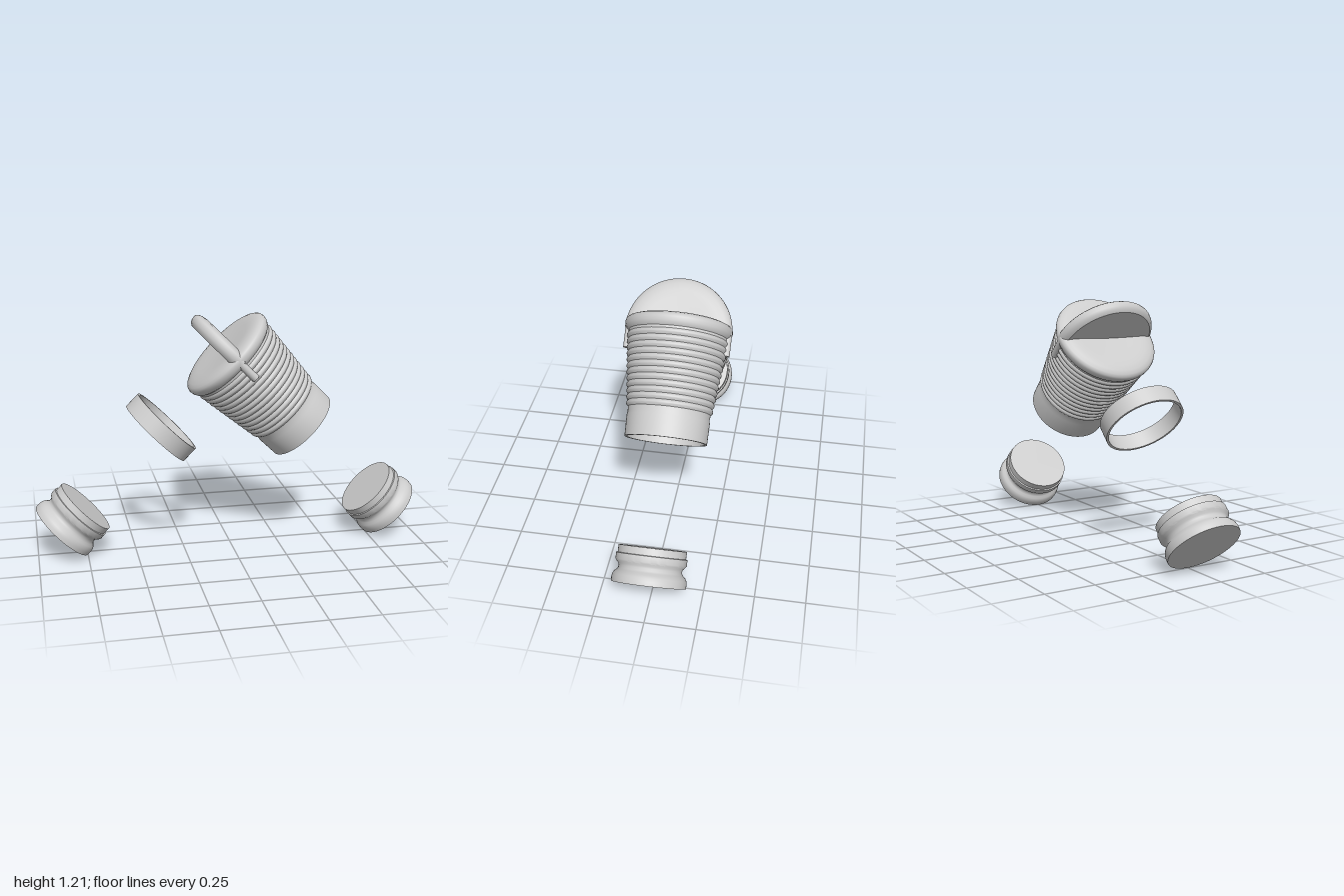
import * as THREE from 'three';
import { toCreasedNormals } from 'three/addons/utils/BufferGeometryUtils.js';

const AXIS = 0.711;  // distance of each part axis from the tilted frame's origin
const grey = new THREE.MeshStandardMaterial({ color: 0xcccccc, side: THREE.DoubleSide });
grey.name = 'plainGrey';

function lathe(name, profile, start = 0, sweep = Math.PI * 2) {
  const points = profile.map(([r, y]) => new THREE.Vector2(r, y));
  const geometry = new THREE.LatheGeometry(points, sweep > 4 ? 72 : 36, start, sweep);
  const mesh = new THREE.Mesh(toCreasedNormals(geometry, 0.6), grey);
  mesh.name = name;
  return mesh;
}

// Domed lid with a rounded edge and a slightly sunken middle
const lidProfile = [
  [0, 0.69], [0.242, 0.69], [0.256, 0.7], [0.264, 0.715], [0.267, 0.732], [0.264, 0.744],
  [0.254, 0.754], [0.235, 0.762], [0.205, 0.767], [0.17, 0.767], [0.12, 0.764], [0.06, 0.762], [0, 0.761],
];

// Stopper with a wide base, a groove and a stepped lip
const plugProfile = [
  [0, 0], [0.18, 0], [0.181, 0.02], [0.178, 0.037], [0.171, 0.05], [0.16, 0.059], [0.154, 0.068],
  [0.153, 0.08], [0.157, 0.09], [0.167, 0.1], [0.172, 0.108], [0.172, 0.137], [0.165, 0.139],
  [0.165, 0.175], [0, 0.175],
];

// Thin tapered shell: smooth collar below, rounded ribs above
function shellProfile() {
  const outer = [[0.202, 0.17], [0.204, 0.275], [0.201, 0.29], [0.203, 0.31]];
  const ribs = 12, steps = 6, low = 0.315, high = 0.68;
  for (let i = 0; i <= ribs * steps; i++) {
    const t = i / (ribs * steps);
    const bump = Math.abs(Math.sin(t * ribs * Math.PI)) * 0.009;
    outer.push([0.203 + 0.042 * t + bump, low + (high - low) * t]);
  }
  outer.push([0.246, 0.7]);
  const inner = outer.map(([r, y]) => [r - 0.012, y]).reverse();
  return [...inner, ...outer];
}

export function createModel() {
  const model = new THREE.Group();
  model.name = 'explodedContainer';

  // Everything sits in a frame tilted by 45 degrees
  const tilted = new THREE.Group();
  tilted.name = 'tiltedParts';
  tilted.rotation.z = Math.PI / 4;
  model.add(tilted);

  // First axis: ribbed body, lid and plug
  const bodyAxis = new THREE.Group();
  bodyAxis.name = 'bodyAxis';
  bodyAxis.position.x = AXIS;
  tilted.add(bodyAxis);
  const lowerPlug = lathe('rightPlug', plugProfile);
  lowerPlug.position.y = -0.525;
  bodyAxis.add(lathe('ribbedBody', shellProfile()), lathe('lid', lidProfile), lowerPlug);

  // Second axis, at right angles: half lid, ring and plug
  const ringAxis = new THREE.Group();
  ringAxis.name = 'ringAxis';
  ringAxis.position.y = AXIS;
  ringAxis.rotation.z = -Math.PI / 2;
  tilted.add(ringAxis);
  const ring = lathe('looseRing', [[0.19, 0.255], [0.19, 0.168], [0.202, 0.168], [0.202, 0.255], [0.19, 0.255]]);
  const sidePlug = lathe('leftPlug', plugProfile);
  sidePlug.position.y = -0.525;
  ringAxis.add(ring, sidePlug, lathe('uprightHalfLid', lidProfile, Math.PI, Math.PI));

  // Short legs of the half lid, passing through the body wall
  for (const side of [-1, 1]) {
    const leg = new THREE.Mesh(new THREE.CylinderGeometry(0.02, 0.02, 0.13, 20), grey);
    leg.name = side > 0 ? 'frontLeg' : 'backLeg';
    leg.position.set(0.724, 0.673, side * 0.245);
    tilted.add(leg);
  }
  return model;
}
